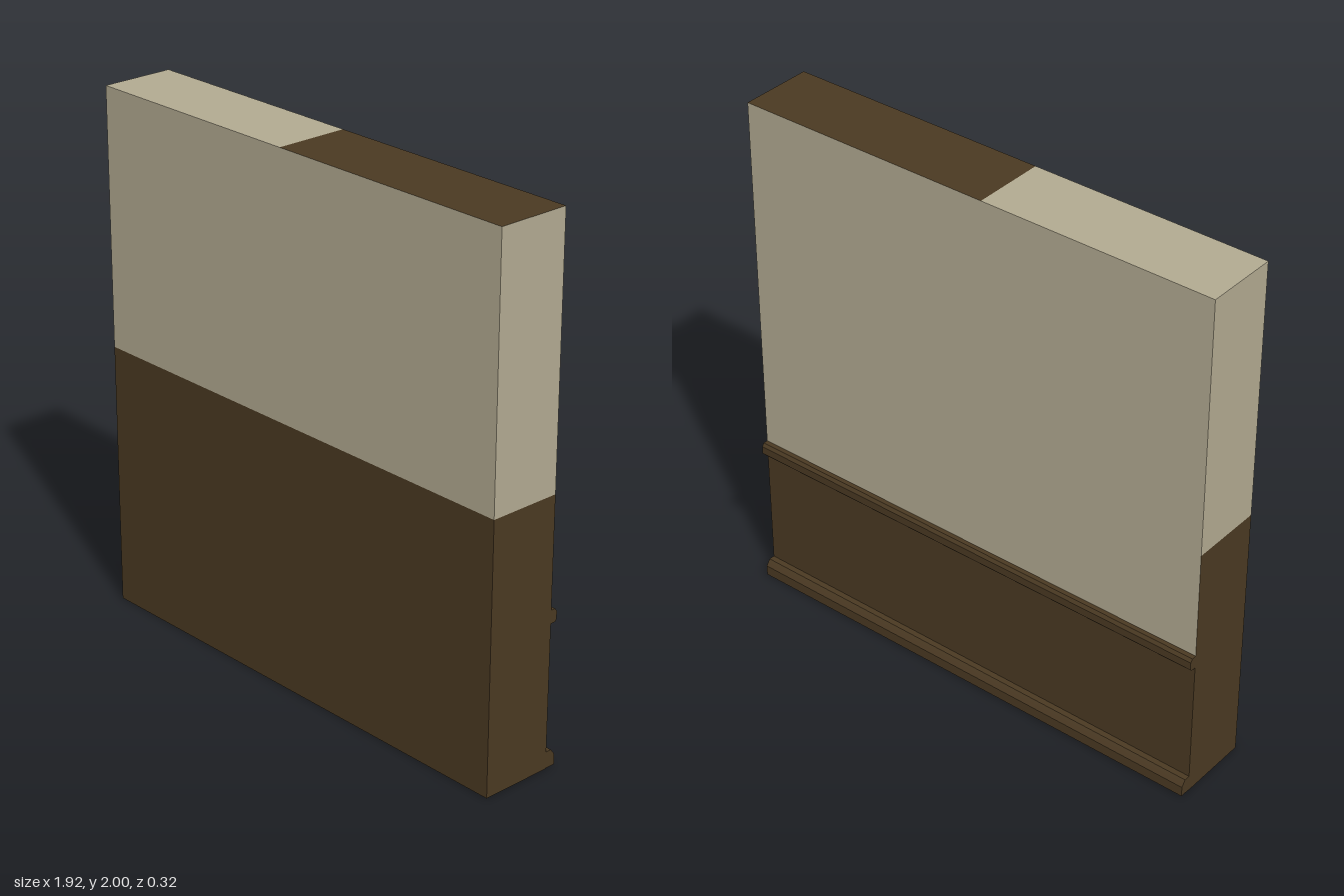
import * as THREE from 'three';

export function createModel() {
  const group = new THREE.Group();
  const plaster = new THREE.MeshStandardMaterial({ color: 0xb2aa91 });
  plaster.name = 'beige plaster';
  const wood = new THREE.MeshStandardMaterial({ color: 0x4a3922 });
  wood.name = 'dark wood';

  const X = 0.96, H = 2, FRONT = 0.16, BACK = -0.12, TRIM = -0.16;
  const midZ = (FRONT + BACK) / 2, depth = FRONT - BACK;
  const wainscot = 1.02, railLine = 0.58, capSplit = -0.05;

  function face(name, mat, w, h, pos, rx = 0, ry = 0) {
    const mesh = new THREE.Mesh(new THREE.PlaneGeometry(w, h), mat);
    mesh.name = name;
    mesh.position.set(...pos);
    mesh.rotation.set(rx, ry, 0);
    group.add(mesh);
  }

  // Upright wall faces: wood below the split height, plaster above
  function uprights(name, w, split, x, z, ry) {
    face(name + 'Lower', wood, w, split, [x, split / 2, z], 0, ry);
    face(name + 'Upper', plaster, w, H - split, [x, (H + split) / 2, z], 0, ry);
  }
  uprights('wallFront', 2 * X, wainscot, 0, FRONT, 0);
  uprights('wallBack', 2 * X, railLine, 0, BACK, Math.PI);
  uprights('wallLeft', depth, wainscot, X, midZ, Math.PI / 2);
  uprights('wallRight', depth, wainscot, -X, midZ, -Math.PI / 2);

  // Top and underside: plaster on the right part, wood on the left part
  function cap(name, y, d, z, rx) {
    face(name + 'Plaster', plaster, capSplit + X, d, [(capSplit - X) / 2, y, z], rx);
    face(name + 'Wood', wood, X - capSplit, d, [(capSplit + X) / 2, y, z], rx);
  }
  cap('wallTop', H, depth, midZ, -Math.PI / 2);
  cap('wallUnderside', 0, FRONT - TRIM, (FRONT + TRIM) / 2, Math.PI / 2);

  // Mouldings along the back, profile points are (distance behind centre, height)
  function moulding(name, points) {
    const shape = new THREE.Shape(points.map(p => new THREE.Vector2(...p)));
    const geo = new THREE.ExtrudeGeometry(shape, { depth: 2 * X, bevelEnabled: false });
    geo.translate(0, 0, -X).rotateY(Math.PI / 2);
    const mesh = new THREE.Mesh(geo, wood);
    mesh.name = name;
    group.add(mesh);
  }
  moulding('chairRail', [
    [0.118, 0.55], [0.14, 0.55], [0.147, 0.558], [0.147, 0.588], [0.138, 0.6], [0.118, 0.6],
  ]);
  moulding('baseboard', [
    [0.118, 0.002], [0.16, 0.002], [0.16, 0.042], [0.15, 0.056], [0.143, 0.065], [0.118, 0.065],
  ]);

  return group;
}
